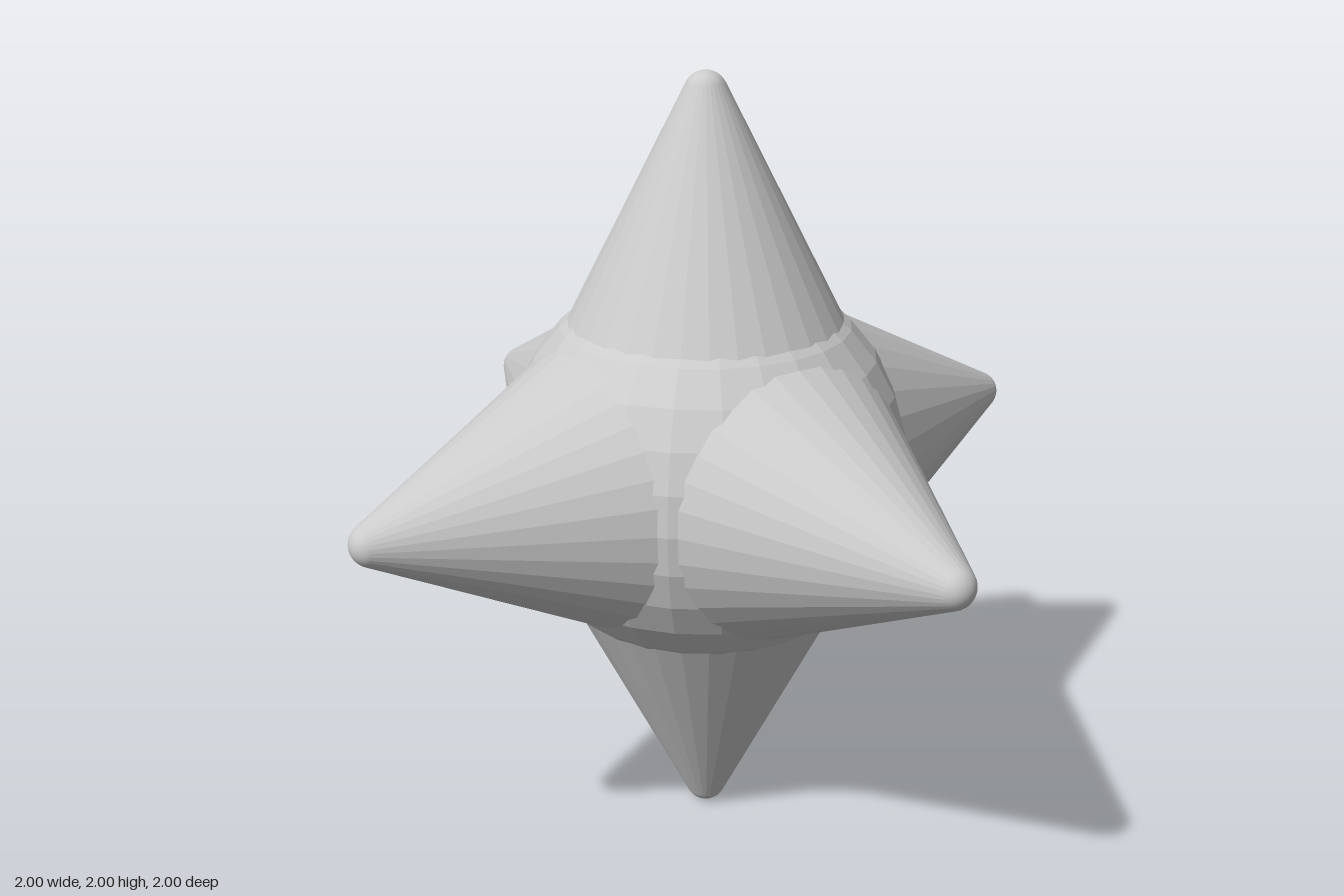
import * as THREE from 'three';

const TIP_R = 0.055;      // radius of the rounded tip
const TIP_C = 1 - TIP_R;  // distance of the tip centre from the core centre
const CONE_BASE = 0.3, CONE_END = 0.97;

export function createModel() {
  const model = new THREE.Group();
  model.name = 'spikedStar';
  const flat = new THREE.MeshStandardMaterial({ color: 0xcccccc, flatShading: true });
  const smooth = new THREE.MeshStandardMaterial({ color: 0xcccccc });

  // faceted round core
  const core = new THREE.Mesh(new THREE.SphereGeometry(0.52, 24, 16), flat);
  core.name = 'core';
  core.position.y = 1;
  model.add(core);

  // one tapered spike with a ball tip, pointing along +y
  const coneGeo = new THREE.CylinderGeometry(0.049, 0.39, CONE_END - CONE_BASE, 32, 1, true);
  coneGeo.translate(0, (CONE_END + CONE_BASE) / 2, 0);
  const tipGeo = new THREE.SphereGeometry(TIP_R, 32, 16);
  tipGeo.translate(0, TIP_C, 0);

  // six spikes along the axes
  const spikes = {
    topSpike: [0, 0, 0],
    bottomSpike: [Math.PI, 0, 0],
    frontSpike: [Math.PI / 2, 0, 0],
    backSpike: [-Math.PI / 2, 0, 0],
    leftSpike: [0, 0, -Math.PI / 2],
    rightSpike: [0, 0, Math.PI / 2],
  };
  for (const [name, rotation] of Object.entries(spikes)) {
    const spike = new THREE.Group();
    spike.name = name;
    const cone = new THREE.Mesh(coneGeo, flat);
    cone.name = 'spikeCone';
    const tip = new THREE.Mesh(tipGeo, smooth);
    tip.name = 'spikeTip';
    spike.add(cone, tip);
    spike.rotation.set(...rotation);
    spike.position.y = 1;
    model.add(spike);
  }
  return model;
}
